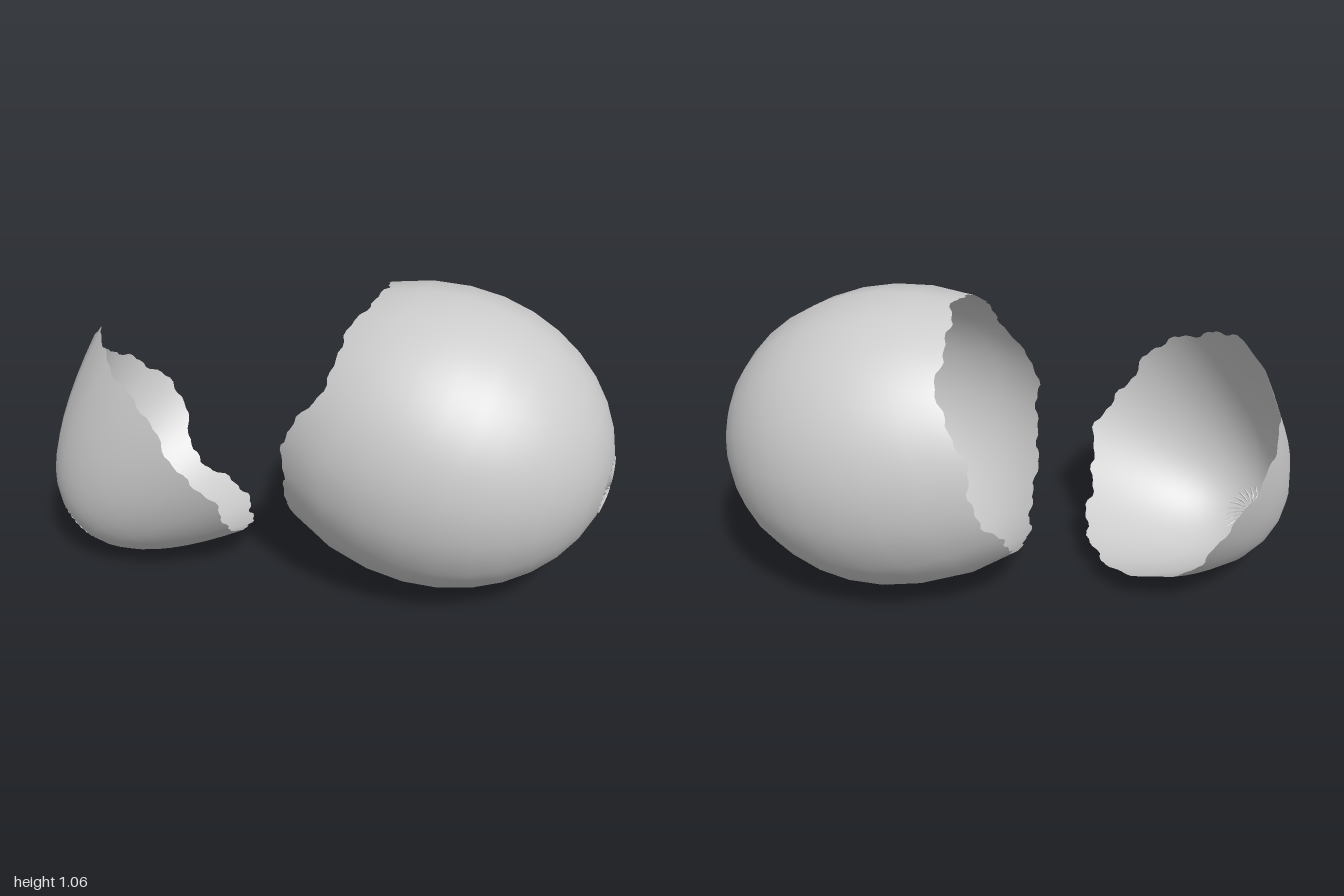
import * as THREE from 'three';

const COLS = 128, ROWS = 11, SIDES = 18;

function material(flat = false) {
  return new THREE.MeshStandardMaterial({ color: 0xcccccc, side: THREE.DoubleSide, flatShading: flat });
}

// Frame around the egg's axis: a points out through the pole, u is roughly up
function makeFrame(axis) {
  const a = new THREE.Vector3(...axis).normalize();
  const u = new THREE.Vector3(0, 1, 0).addScaledVector(a, -a.y).normalize();
  return { a, u, v: new THREE.Vector3().crossVectors(a, u) };
}

function place({ a, u, v }, phi, r, t) {
  return new THREE.Vector3()
    .addScaledVector(u, r * Math.cos(phi))
    .addScaledVector(v, r * Math.sin(phi))
    .addScaledVector(a, t);
}

// Ragged broken edge
function jag(phi, seed) {
  return 0.009 * Math.sin(7 * phi + seed) + 0.007 * Math.sin(17 * phi + 2.3 * seed)
    + 0.005 * Math.sin(37 * phi + 3.1 * seed);
}

// Smooth closed interpolation through evenly spaced rim heights
function rimThrough(keys) {
  return phi => {
    const f = phi / (Math.PI * 2) * keys.length;
    const i = Math.floor(f) % keys.length;
    return THREE.MathUtils.lerp(keys[i], keys[(i + 1) % keys.length], THREE.MathUtils.smoothstep(f - Math.floor(f), 0, 1));
  };
}

// Piece of an egg: radiusAt(t) turned about the axis, from the rim heights to the pole at t = nose
function shell({ name, center, axis, nose, radiusAt, rimKeys, seed }) {
  const frame = makeFrame(axis);
  const rim = rimThrough(rimKeys);
  const pos = [], nor = [], idx = [];
  for (let i = 0; i <= COLS; i++) {
    const phi = (i % COLS) / COLS * Math.PI * 2;
    const step = Math.PI * 2 / SIDES;
    const chord = Math.cos(step / 2) / Math.cos((phi % step) - step / 2); // straight sides between main ribs
    const cut = rim(phi) + jag(phi, seed);
    for (let j = 0; j <= ROWS; j++) {
      const t = nose - (nose - cut) * (1 - j / ROWS) ** 1.8;
      const p = place(frame, phi, radiusAt(t) * chord, t);
      const slope = (radiusAt(t) - radiusAt(t - 0.002)) / 0.002;
      const n = j < ROWS ? place(frame, phi, 1, -slope).normalize() : frame.a;
      pos.push(p.x, p.y, p.z);
      nor.push(n.x, n.y, n.z);
    }
  }
  for (let i = 0; i < COLS; i++) {
    for (let j = 0; j < ROWS; j++) {
      const p = i * (ROWS + 1) + j, q = p + ROWS + 1;
      idx.push(p, q, q + 1);
      if (j < ROWS - 1) idx.push(p, q + 1, p + 1);
    }
  }
  const geo = new THREE.BufferGeometry();
  geo.setAttribute('position', new THREE.Float32BufferAttribute(pos, 3));
  geo.setAttribute('normal', new THREE.Float32BufferAttribute(nor, 3));
  geo.setIndex(idx);
  const mesh = new THREE.Mesh(geo, material());
  mesh.name = name;

  // Finely creased spot at the pole
  const spot = new THREE.RingGeometry(0.012, 0.1, 48, 3);
  const at = spot.attributes.position;
  for (let i = 0; i < at.count; i++) {
    const x = at.getX(i), y = at.getY(i), r = Math.hypot(x, y);
    let low = 0, high = nose; // height on the shell at this radius
    for (let k = 0; k < 20; k++) {
      const mid = (low + high) / 2;
      if (radiusAt(mid) > r) low = mid; else high = mid;
    }
    const p = place(frame, Math.atan2(y, x), r, low + (i % 2 ? 0.003 : -0.003));
    at.setXYZ(i, p.x, p.y, p.z);
  }
  const spotMesh = new THREE.Mesh(spot, material(true));
  spotMesh.name = name + 'PoleCreases';

  const group = new THREE.Group();
  group.name = name + 'Piece';
  group.position.set(...center);
  group.add(mesh, spotMesh);
  return group;
}

export function createModel() {
  const model = new THREE.Group();
  model.name = 'brokenEggshell';

  // Rounded larger part, a slightly longer ellipsoid behind its widest ring
  model.add(shell({
    name: 'largeShell', center: [0.4, 0.538, 0.015], axis: [0.95, -0.13, 0.28], nose: 0.61, seed: 1.3,
    radiusAt: t => 0.53 * Math.sqrt(Math.max(0, 1 - (t / (t < 0 ? 0.67 : 0.61)) ** 2)),
    rimKeys: [-0.285, -0.32, -0.43, -0.405, -0.41, -0.41, -0.36, -0.285],
  }));

  // Smaller, more tapered end piece lying on its side
  model.add(shell({
    name: 'smallShell', center: [-0.53, 0.47, -0.1], axis: [-0.72, -0.64, 0.26], nose: 0.53, seed: 4.1,
    radiusAt: t => 0.465 * Math.max(0, 1 - t / 0.53) ** 0.43,
    rimKeys: [-0.05, 0.06, 0, 0.12, 0.05, 0.09, 0.03, -0.02],
  }));

  return model;
}
